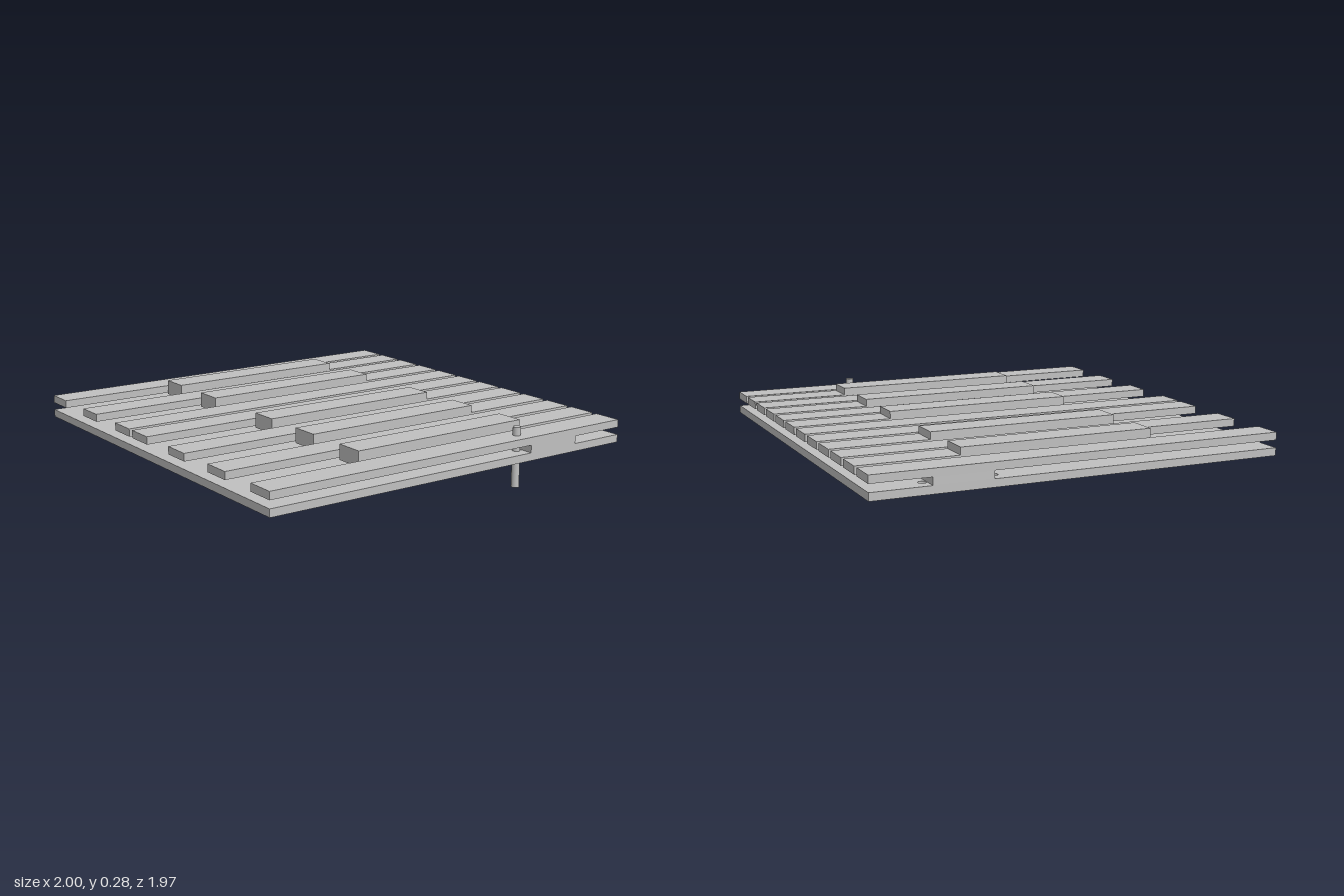
import * as THREE from 'three';

export function createModel() {
  const group = new THREE.Group();
  const grey = new THREE.MeshStandardMaterial({ color: 0xc0c0c0 });
  grey.name = 'light grey';

  const Z = 0.985, KEY_W = 0.141, PITCH = 0.169, PIN_R = 0.0185;
  const Y = [0.135, 0.172, 0.208, 0.245, 0.28]; // layer heights
  const FRONT_ROW = -0.4, BACK_ROW = -0.725;
  const keyX = (i) => -1 + KEY_W / 2 + i * PITCH;

  function add(name, geometry, x = 0, y = 0, z = 0) {
    const mesh = new THREE.Mesh(geometry, grey);
    mesh.name = name;
    mesh.position.set(x, y, z);
    group.add(mesh);
    return mesh;
  }
  function slab(name, x, y0, y1, z0, z1, w) {
    return add(name, new THREE.BoxGeometry(w, y1 - y0, z1 - z0), x, (y0 + y1) / 2, (z0 + z1) / 2);
  }

  // Base plate, pierced by two rows of pin holes
  const plate = new THREE.Shape([
    new THREE.Vector2(-1, -Z), new THREE.Vector2(1, -Z),
    new THREE.Vector2(1, Z), new THREE.Vector2(-1, Z),
  ]);
  for (let i = 0; i < 12; i++) {
    for (const z of [FRONT_ROW, BACK_ROW]) {
      const hole = new THREE.Path();
      hole.absarc(keyX(i), -z, PIN_R, 0, Math.PI * 2, true);
      plate.holes.push(hole);
    }
  }
  const plateGeometry = new THREE.ExtrudeGeometry(plate, {
    depth: Y[1] - Y[0], bevelEnabled: false, curveSegments: 12,
  });
  plateGeometry.rotateX(-Math.PI / 2);
  add('basePlate', plateGeometry, 0, Y[0], 0);

  // Support bar between the plate and the keys
  slab('supportBar', 0, Y[1], Y[2], -0.705, -0.427, 2);

  // Stepped side profile of a short key, drawn with -z as its horizontal axis
  const profile = new THREE.Shape([
    [-0.42, Y[2]], [Z, Y[2]], [Z, Y[3]], [0.51, Y[3]], [0.51, Y[4]], [-0.42, Y[4]],
  ].map(([a, b]) => new THREE.Vector2(a, b)));
  const shortKey = new THREE.ExtrudeGeometry(profile, { depth: KEY_W, bevelEnabled: false });
  shortKey.translate(0, 0, -KEY_W / 2);
  shortKey.rotateY(Math.PI / 2);

  // Twelve keys: long flat ones and short raised ones
  const raised = [1, 3, 6, 8, 10];
  for (let i = 0; i < 12; i++) {
    if (raised.includes(i)) add('raisedKey' + i, shortKey, keyX(i));
    else slab('flatKey' + i, keyX(i), Y[2], Y[3], -Z, Z, KEY_W);
  }

  // Pin passing through the last key and the plate
  add('pin', new THREE.CylinderGeometry(PIN_R, PIN_R, 0.285, 24), keyX(11), 0.1425, FRONT_ROW);

  return group;
}
